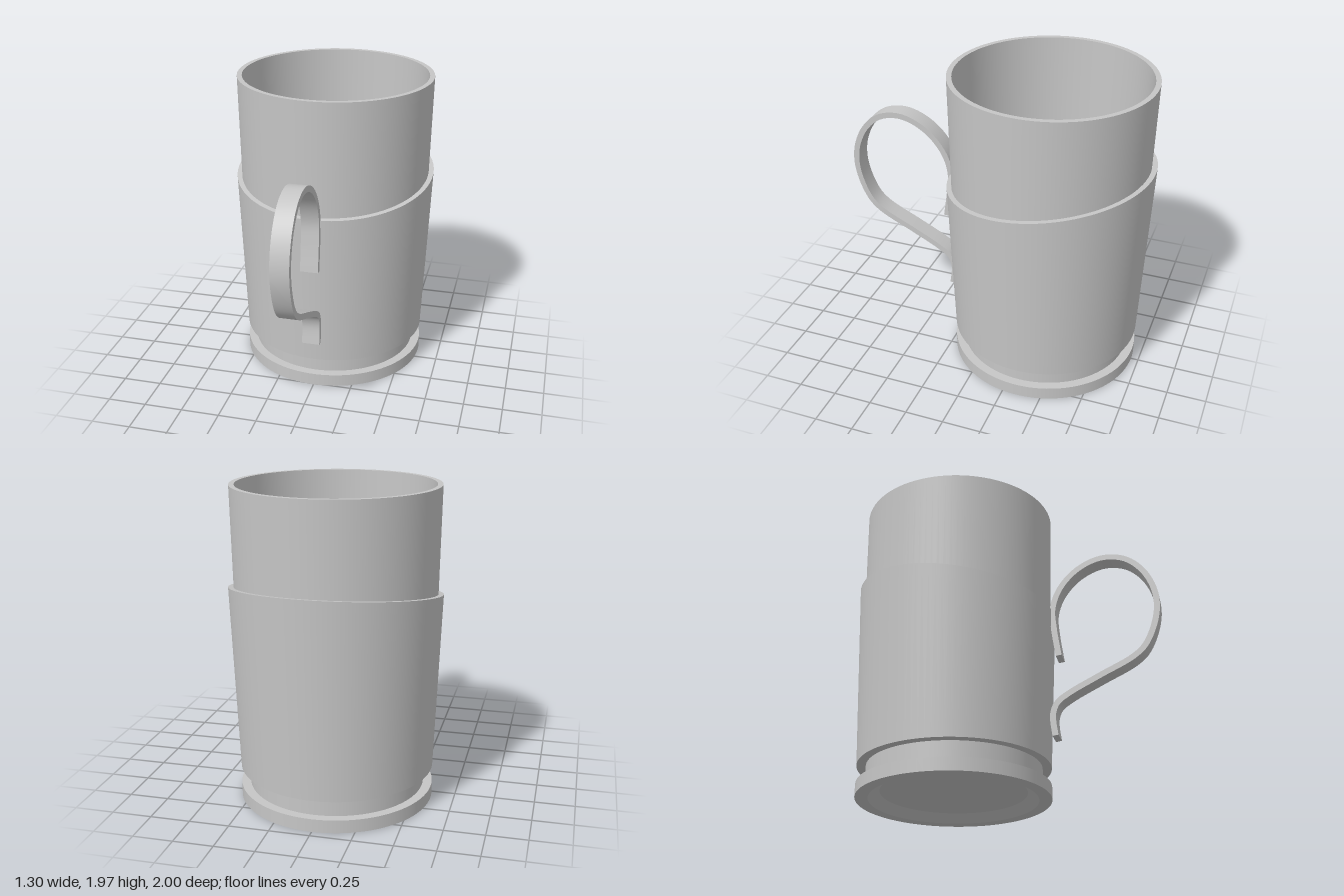
import * as THREE from 'three';
import { mergeGeometries, toCreasedNormals } from 'three/addons/utils/BufferGeometryUtils.js';

const AXIS_Z = -0.345;
const SEGMENTS = 96;

// One lathe per profile step: round and smooth sideways, sharp at each ring
function turned(profile, adjust) {
  const bands = [];
  for (let i = 0; i < profile.length - 1; i++) {
    const band = new THREE.LatheGeometry(
      [profile[i], profile[i + 1]].map(([r, y]) => new THREE.Vector2(r, y)), SEGMENTS);
    if (adjust) adjust(band);
    bands.push(band);
  }
  return mergeGeometries(bands);
}

// Slants the upper rim of the sleeve, low at the front and high at the back
function slantRim(geometry) {
  const p = geometry.attributes.position;
  let moved = 0;
  for (let i = 0; i < p.count; i++) {
    if (p.getY(i) < 1) continue;
    const r = Math.hypot(p.getX(i), p.getZ(i));
    const y = 1.321 - 0.155 * p.getZ(i);
    const k = (r + (r > 0.64 ? 0.039 : 0.019) * (y - 1.321)) / r;
    p.setXYZ(i, p.getX(i) * k, y, p.getZ(i) * k);
    moved++;
  }
  if (moved === p.count) geometry.computeVertexNormals();
}

// Bent flat strip, drawn in the (z, y) plane and extruded across x
function stripHandle(path, thickness, width) {
  const curve = new THREE.CatmullRomCurve3(
    path.map(([z, y]) => new THREE.Vector3(z, y, 0)), false, 'centripetal');
  const steps = 90, near = [], far = [];
  for (let i = 0; i <= steps; i++) {
    const c = curve.getPointAt(i / steps), t = curve.getTangentAt(i / steps);
    const dx = -t.y * thickness / 2, dy = t.x * thickness / 2;
    near.push(new THREE.Vector2(c.x + dx, c.y + dy));
    far.unshift(new THREE.Vector2(c.x - dx, c.y - dy));
  }
  const geometry = new THREE.ExtrudeGeometry(new THREE.Shape([...near, ...far]),
    { depth: width, bevelEnabled: false });
  geometry.translate(0, 0, -width / 2);
  geometry.rotateY(-Math.PI / 2);
  return toCreasedNormals(geometry, 0.6);
}

export function createModel() {
  const group = new THREE.Group();
  const grey = new THREE.MeshStandardMaterial({ color: 0xc6c6c6 });
  grey.name = 'light grey';

  const add = (name, geometry, z = 0) => {
    const mesh = new THREE.Mesh(geometry, grey);
    mesh.name = name;
    mesh.position.z = z;
    group.add(mesh);
  };

  // Foot with a hollow underside and a narrow neck
  add('base', turned([
    [0, 0.05], [0.457, 0.05], [0.527, 0], [0.607, 0],
    [0.607, 0.082], [0.55, 0.082], [0.55, 0.2],
  ]), AXIS_Z);

  // Tapered holder around the cup
  add('sleeve', turned([
    [0.55, 0.2], [0.607, 0.2], [0.652, 1.321], [0.62, 1.321],
  ], slantRim), AXIS_Z);

  // Open cup standing inside the sleeve
  add('cup', turned([
    [0.598, 0.2], [0.632, 1.97], [0.6, 1.97], [0.565, 0.23], [0, 0.23],
  ]), AXIS_Z);

  // Curled strip handle at the front
  add('handle', stripHandle([
    [0.342, 0.888], [0.315, 1.085], [0.309, 1.22], [0.353, 1.353], [0.449, 1.47],
    [0.567, 1.54], [0.674, 1.56], [0.797, 1.53], [0.898, 1.44], [0.963, 1.31],
    [0.981, 1.18], [0.957, 1.043], [0.893, 0.904], [0.818, 0.834], [0.594, 0.722],
    [0.406, 0.626], [0.326, 0.567], [0.299, 0.497], [0.299, 0.444], [0.311, 0.353],
  ], 0.038, 0.115));

  return group;
}
